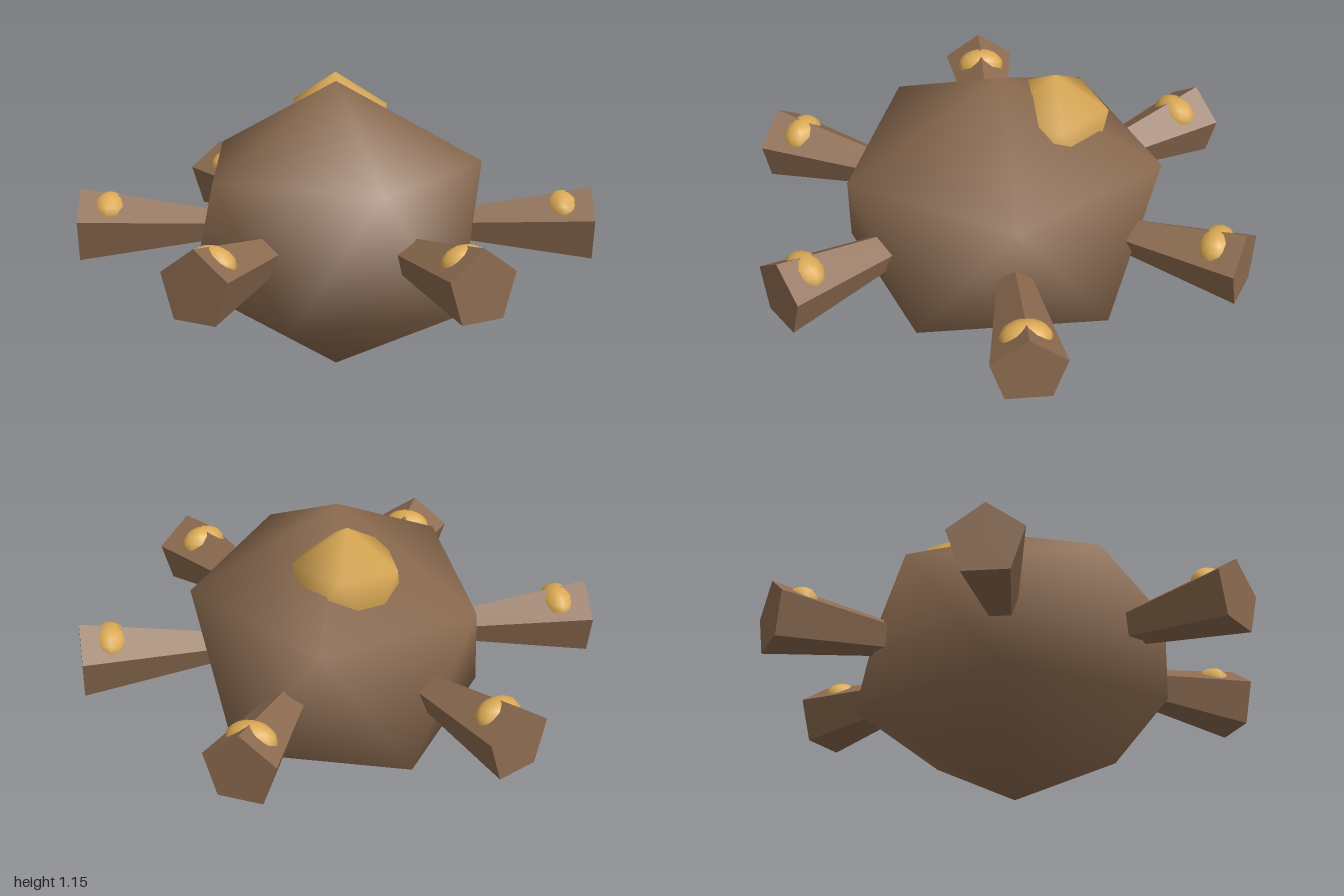
import * as THREE from 'three';

// Smooth-shaded icosahedron standing on one corner, scaled per axis
function icosahedron(sx, sy, sz) {
  const h = 1 / Math.sqrt(5), r = 2 * h;
  const pos = [0, sy, 0];
  for (const [y, turn] of [[h, 0], [-h, Math.PI / 5]]) {
    for (let i = 0; i < 5; i++) {
      const a = turn + i * Math.PI * 0.4;
      pos.push(sx * r * Math.cos(a), sy * y, sz * r * Math.sin(a));
    }
  }
  pos.push(0, -sy, 0);
  const index = [];
  for (let i = 0; i < 5; i++) {
    const j = (i + 1) % 5;
    const u0 = 1 + i, u1 = 1 + j, l0 = 6 + i, l1 = 6 + j;
    index.push(0, u1, u0, u0, u1, l0, u1, l1, l0, l0, l1, 11);
  }
  const g = new THREE.BufferGeometry();
  g.setAttribute('position', new THREE.Float32BufferAttribute(pos, 3));
  g.setIndex(index);
  g.computeVertexNormals();
  return g;
}

export function createModel() {
  const brown = new THREE.MeshStandardMaterial({ name: 'brown', color: 0x8c6b50 });
  const gold = new THREE.MeshStandardMaterial({ name: 'gold', color: 0xdaa954 });
  const model = new THREE.Group();
  model.name = 'spikyBall';

  const add = (parent, name, geometry, material, x, y, z) => {
    const mesh = new THREE.Mesh(geometry, material);
    mesh.name = name;
    mesh.position.set(x, y, z);
    parent.add(mesh);
    return mesh;
  };

  // Body and the large lump near its top
  add(model, 'body', icosahedron(0.637, 0.575, 0.7), brown, 0, 0.575, 0);
  add(model, 'topLump', icosahedron(0.23, 0.235, 0.232), gold, 0, 0.915, -0.205);

  // Five-sided arm flaring outwards along +x, ridge on top
  const armShape = new THREE.CylinderGeometry(0.147, 0.05, 0.6, 5, 1, false, -Math.PI / 2)
    .rotateZ(-Math.PI / 2).toNonIndexed();
  armShape.computeVertexNormals();
  const lumpShape = new THREE.SphereGeometry(1, 12, 8).scale(0.07, 0.07, 0.098);

  // Six arms around the body, each with a small lump astride its ridge
  for (let i = 0; i < 6; i++) {
    const arm = new THREE.Group();
    arm.name = 'arm' + (i + 1);
    arm.rotation.y = i * Math.PI / 3;
    add(arm, 'armBeam', armShape, brown, 0.7, 0.578, 0);
    add(arm, 'armLump', lumpShape, gold, 0.888, 0.64, 0);
    model.add(arm);
  }
  return model;
}
